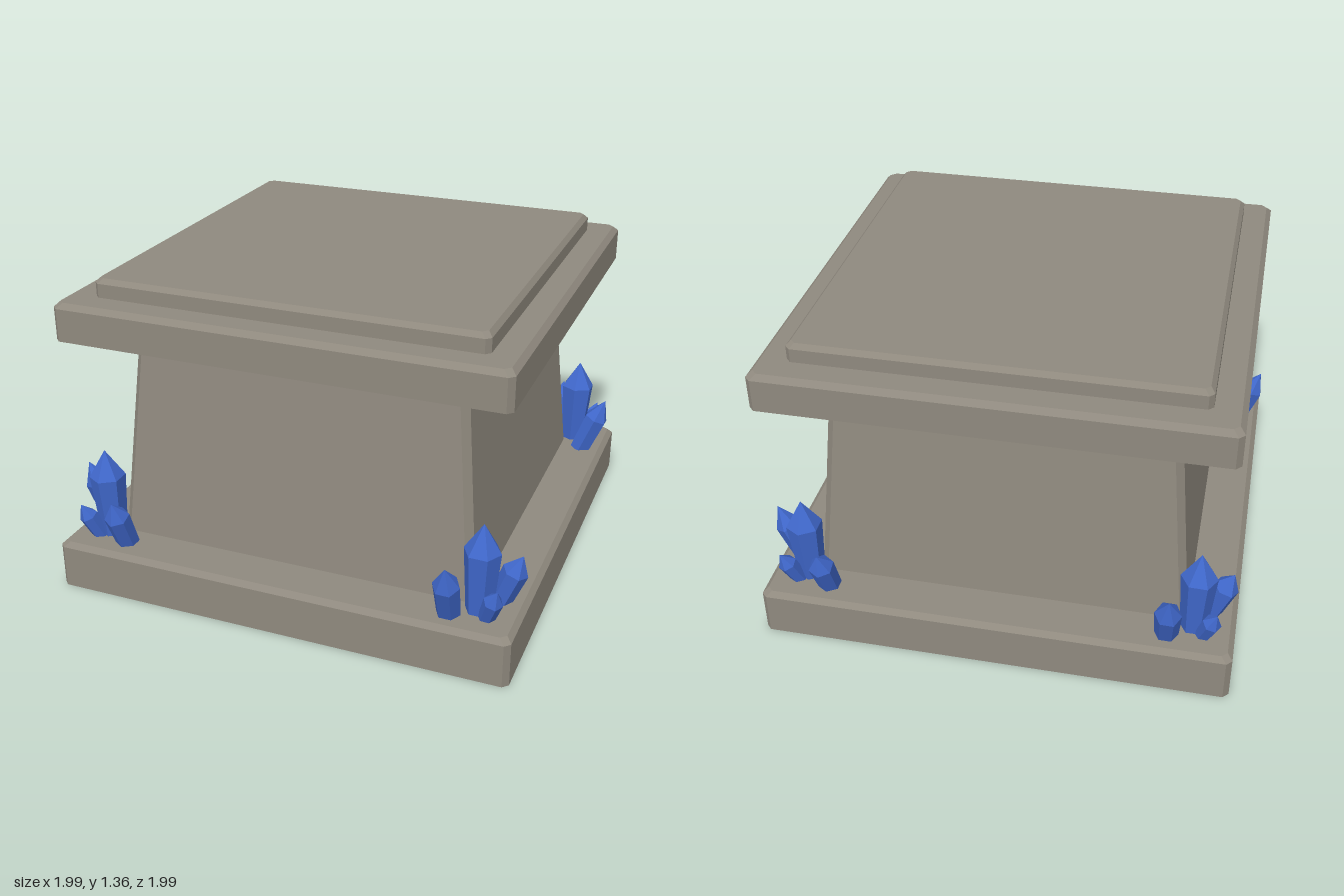
import * as THREE from 'three';

const stone = new THREE.MeshStandardMaterial({ color: 0x8f897e, flatShading: true });
stone.name = 'stone';
const crystalBlue = new THREE.MeshStandardMaterial({ color: 0x4068cc, flatShading: true });
crystalBlue.name = 'crystal blue';

// Square outline with clipped corners, counter-clockwise seen from above
function ring(y, half, cut) {
  const k = half - cut;
  return [[half, k], [half, -k], [k, -half], [-k, -half], [-half, -k], [-half, k], [-k, half], [k, half]]
    .map(([x, z]) => [x, y, z]);
}

// Closed block through levels of [height, half width, corner cut]
function block(name, levels) {
  const rings = levels.map((l) => ring(...l));
  const pos = [];
  const tri = (...pts) => pts.forEach((p) => pos.push(...p));
  for (let r = 0; r < rings.length - 1; r++) {
    const lo = rings[r], hi = rings[r + 1];
    for (let i = 0; i < 8; i++) {
      const j = (i + 1) % 8;
      tri(lo[i], lo[j], hi[j]);
      tri(lo[i], hi[j], hi[i]);
    }
  }
  const bottom = rings[0], top = rings[rings.length - 1];
  for (let i = 1; i < 7; i++) {
    tri(top[0], top[i], top[i + 1]);
    tri(bottom[0], bottom[i + 1], bottom[i]);
  }
  const geo = new THREE.BufferGeometry();
  geo.setAttribute('position', new THREE.Float32BufferAttribute(pos, 3));
  geo.computeVertexNormals();
  const mesh = new THREE.Mesh(geo, stone);
  mesh.name = name;
  return mesh;
}

// Six-sided crystal from a base point to a tip, widening towards its shoulder
function crystal(name, base, tip, baseRadius, radius, tipLength) {
  const from = new THREE.Vector3(...base);
  const axis = new THREE.Vector3(...tip).sub(from);
  const length = axis.length();
  const profile = [[0, 0], [baseRadius, 0], [radius, length - tipLength], [0, length]]
    .map(([x, y]) => new THREE.Vector2(x, y));
  const mesh = new THREE.Mesh(new THREE.LatheGeometry(profile, 6, Math.PI / 6), crystalBlue);
  mesh.name = name;
  mesh.position.copy(from);
  mesh.quaternion.setFromUnitVectors(new THREE.Vector3(0, 1, 0), axis.normalize());
  return mesh;
}

// Four crystals growing from one corner of the base
function crystalCluster() {
  const g = new THREE.Group();
  g.name = 'crystalCluster';
  g.add(
    crystal('tallCrystal', [0.82, 0.2, 0.82], [0.83, 0.6, 0.83], 0.055, 0.076, 0.12),
    crystal('frontCrystal', [0.715, 0.2, 0.88], [0.725, 0.465, 0.985], 0.05, 0.056, 0.1),
    crystal('sideCrystal', [0.875, 0.2, 0.72], [0.965, 0.43, 0.73], 0.048, 0.054, 0.08),
    crystal('smallCrystal', [0.86, 0.2, 0.86], [0.915, 0.365, 0.915], 0.034, 0.04, 0.065),
  );
  return g;
}

export function createModel() {
  const model = new THREE.Group();
  model.name = 'pedestal';
  model.add(
    block('base', [[0, 0.992, 0.023], [0.187, 0.992, 0.023], [0.208, 0.97, 0.023]]),
    block('body', [[0.2, 0.79, 0.03], [1.125, 0.705, 0.03]]),
    block('cap', [[1.122, 0.942, 0.023], [1.26, 0.942, 0.023], [1.282, 0.92, 0.023]]),
    block('topSlab', [[1.275, 0.818, 0.02], [1.34, 0.818, 0.02], [1.36, 0.8, 0.02]]),
  );

  // One cluster at every corner
  for (let i = 0; i < 4; i++) {
    const cluster = crystalCluster();
    cluster.rotation.y = (i * Math.PI) / 2;
    model.add(cluster);
  }
  return model;
}
